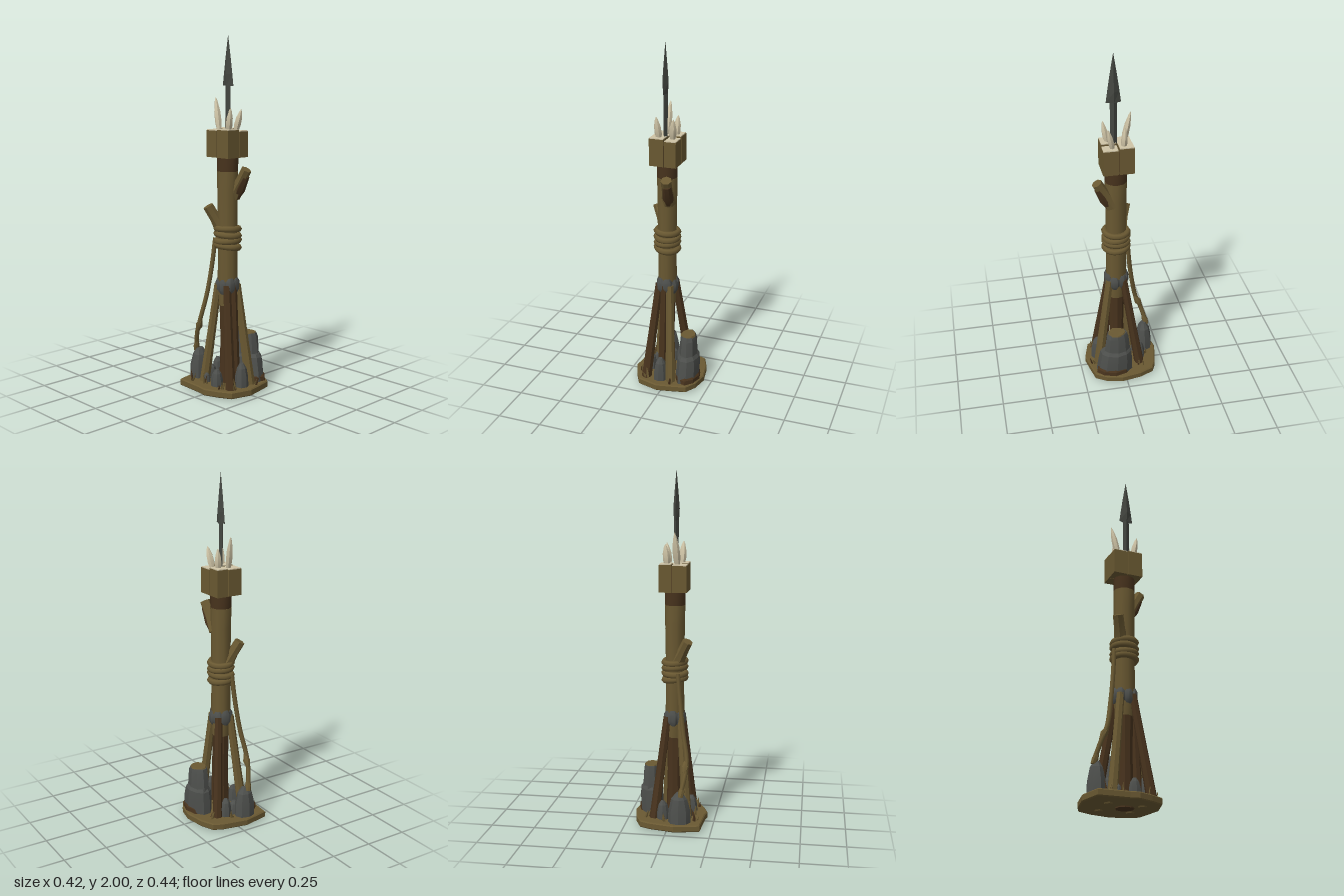
import * as THREE from 'three';
import { toCreasedNormals } from 'three/addons/utils/BufferGeometryUtils.js';

const mat = (name, color) => {
  const m = new THREE.MeshStandardMaterial({ color });
  m.name = name;
  return m;
};

let seed = 7;
const rnd = () => ((seed = (seed * 16807) % 2147483647) / 2147483647) * 2 - 1;

// Skin over rings [y, centreX, centreZ, radiusX, radiusZ], closed at both ends
function loft(rings, sides, { jitter = 0, crease = 0.3, turn = 0 } = {}) {
  const pos = [], idx = [];
  const wobble = Array.from({ length: sides }, () => 1 + jitter * rnd());
  for (const [y, cx, cz, rx, rz] of rings) {
    for (let i = 0; i < sides; i++) {
      const a = turn + (i / sides) * Math.PI * 2, w = wobble[i] * (1 + jitter * 0.4 * rnd());
      pos.push(cx + rx * w * Math.cos(a), y + jitter * 0.03 * rnd(), cz + rz * w * Math.sin(a));
    }
  }
  const last = (rings.length - 1) * sides, b = pos.length / 3;
  const r0 = rings[0], r1 = rings[rings.length - 1];
  pos.push(r0[1], r0[0], r0[2], r1[1], r1[0], r1[2]);
  for (let i = 0; i < sides; i++) {
    const j = (i + 1) % sides;
    for (let k = 0; k < last; k += sides) {
      idx.push(k + i, k + sides + i, k + j, k + j, k + sides + i, k + sides + j);
    }
    idx.push(b, i, j, b + 1, last + j, last + i);
  }
  const g = new THREE.BufferGeometry();
  g.setAttribute('position', new THREE.Float32BufferAttribute(pos, 3));
  g.setIndex(idx);
  return toCreasedNormals(g, crease);
}

export function createModel() {
  const model = new THREE.Group();
  model.name = 'spearPost';
  const olive = mat('oliveWood', 0x6a5932);
  const brown = mat('darkBark', 0x48331d);
  const grey = mat('stone', 0x4d4f4c);
  const iron = mat('iron', 0x444741);
  const bone = mat('bone', 0xcfc4a6);
  const UP = new THREE.Vector3(0, 1, 0);

  const add = (name, geo, material) => {
    const m = new THREE.Mesh(geo, material);
    m.name = name;
    model.add(m);
    return m;
  };
  // Tapered piece running from a to b; profile rows are [t, radius]
  const between = (name, a, b, profile, material, sides = 7, flat = 1) => {
    const p = new THREE.Vector3(...a), d = new THREE.Vector3(...b).sub(p), len = d.length();
    const m = add(name, loft(profile.map(([t, r]) => [t * len, 0, 0, r, r * flat]), sides, { crease: 0.8 }), material);
    m.position.copy(p);
    m.quaternion.setFromUnitVectors(UP, d.normalize());
    return m;
  };

  // Ground slab
  const outline = [[-0.19, -0.19], [-0.045, -0.22], [0.1, -0.19], [0.155, -0.165], [0.19, -0.085], [0.21, 0.03],
    [0.19, 0.12], [0.15, 0.185], [0.06, 0.205], [-0.02, 0.22], [-0.14, 0.185], [-0.18, 0.11], [-0.21, 0.03], [-0.2, -0.02]];
  const slab = new THREE.ExtrudeGeometry(new THREE.Shape(outline.map(([x, z]) => new THREE.Vector2(x, -z))), {
    depth: 0.028, bevelEnabled: true, bevelSize: 0.006, bevelThickness: 0.006, bevelOffset: -0.006, bevelSegments: 1,
  });
  slab.rotateX(-Math.PI / 2).translate(0, 0.013, 0);
  add('groundSlab', slab, olive);

  // Post: dark foot, olive shaft, dark upper bark
  const cx = -0.018, cz = 0.026;
  add('postFoot', loft([[0, cx, cz, 0.05, 0.05], [0.3, cx, cz, 0.042, 0.042], [0.58, cx, cz, 0.05, 0.05]], 9), brown);
  add('postShaft', loft([[0.5, cx, cz, 0.05, 0.052], [0.62, cx, cz, 0.054, 0.06], [0.9, cx, cz, 0.052, 0.058],
    [1.15, cx, cz, 0.056, 0.06], [1.26, cx, cz, 0.058, 0.062]], 10, { crease: 0.8 }), olive);
  add('postBark', loft([[1.24, cx, cz, 0.057, 0.061], [1.36, cx, cz, 0.059, 0.063]], 10, { crease: 0.8 }), brown);

  // Splayed legs
  const legs = [[-0.11, 0.145, -0.055, 0.06, brown], [0.045, 0.15, 0.012, 0.07, olive],
    [0.085, -0.1, 0.02, -0.01, brown], [-0.105, -0.08, -0.055, -0.012, olive]];
  for (const [x, z, tx, tz, m] of legs) {
    between('leg', [x, 0.012, z], [tx, 0.62, tz], [[0, 0.03], [0.5, 0.025], [1, 0.022]], m);
  }
  between('middleLeg', [-0.025, 0.02, 0.1], [-0.02, 0.62, 0.075], [[0, 0.026], [1, 0.02]], brown);

  // Collar of stones
  for (let i = 0; i < 7; i++) {
    const a = (i / 7) * Math.PI * 2 + 0.3;
    const g = loft([[-0.045, 0, 0, 0.015, 0.012], [-0.022, 0, 0, 0.03, 0.023], [0.02, 0, 0, 0.03, 0.023],
      [0.042, 0, 0, 0.016, 0.012]], 7, { jitter: 0.1, crease: 0.6 });
    const m = add('collarStone', g, grey);
    m.position.set(cx + 0.042 * Math.cos(a), 0.615 + 0.01 * rnd(), cz + 0.052 * Math.sin(a));
    m.rotation.y = Math.PI / 2 - a;
  }

  // Rope windings and hanging end
  for (let i = 0; i < 4; i++) {
    const m = add('ropeWinding', new THREE.TorusGeometry(0.06, 0.018, 6, 20), olive);
    m.rotation.set(Math.PI / 2 + 0.06 * rnd(), 0.12 * rnd(), 0);
    m.scale.y = 1.08;
    m.position.set(cx, 0.838 + i * 0.033, cz);
  }
  const path = [[-0.045, 0.88, -0.045], [-0.06, 0.72, -0.058], [-0.08, 0.55, -0.08], [-0.105, 0.4, -0.11],
    [-0.1, 0.32, -0.14], [-0.08, 0.22, -0.17]].map((p) => new THREE.Vector3(...p));
  add('hangingRope', new THREE.TubeGeometry(new THREE.CatmullRomCurve3(path), 24, 0.013, 6), olive);
  between('ropeKnot', [-0.103, 0.4, -0.105], [-0.097, 0.33, -0.14], [[0, 0.01], [0.5, 0.021], [1, 0.01]], olive);
  between('ropeEnd', [-0.088, 0.26, -0.155], [-0.078, 0.2, -0.175], [[0, 0.01], [0.5, 0.018], [1, 0.014]], olive);

  // Cut branches
  const stub = [[0, 0.042], [0.5, 0.031], [1, 0.03]];
  between('frontBranch', [0, 1.12, 0.05], [0.016, 1.275, 0.138], stub, olive);
  between('frontBranchBark', [0.005, 1.11, 0.065], [0.018, 1.24, 0.13], [[0, 0.02], [0.4, 0.032], [1, 0.024]], brown);
  between('backBranch', [-0.035, 0.93, 0], [-0.1, 1.065, -0.045], stub, olive);

  // Head: four blocks with pale cut tops
  const cells = [[-0.094, -0.012, -0.064, 0.018, 1.485], [-0.008, 0.06, -0.064, 0.018, 1.49],
    [-0.094, -0.012, 0.022, 0.108, 1.49], [-0.008, 0.06, 0.022, 0.108, 1.48]];
  for (const [x0, x1, z0, z1, top] of cells) {
    const x = (x0 + x1) / 2, z = (z0 + z1) / 2, h = top - 1.338;
    add('headBlock', new THREE.BoxGeometry(x1 - x0, h, z1 - z0), olive).position.set(x, 1.338 + h / 2, z);
    add('paleTop', new THREE.BoxGeometry(x1 - x0 - 0.004, 0.006, z1 - z0 - 0.004), bone).position.set(x, top + 0.002, z);
  }
  add('headCore', new THREE.BoxGeometry(0.14, 0.12, 0.16), brown).position.set(cx, 1.41, 0.022);

  // Bone spikes
  const spike = [[0, 0.013], [0.3, 0.021], [0.6, 0.019], [0.88, 0.009], [1, 0.001]];
  const tips = [[-0.05, 0.066, -0.058, 1.61, 0.09], [0.02, 0.05, 0.036, 1.6, 0.078],
    [0.02, -0.01, 0.03, 1.6, -0.018], [-0.038, -0.018, -0.028, 1.665, -0.058]];
  for (const [x, z, tx, ty, tz] of tips) between('boneSpike', [x, 1.475, z], [tx, ty, tz], spike, bone, 6, 0.85);

  // Barbed blade
  const bx = -0.024, bz = 0.036;
  const blade = [[1.37, 0.002, 0.002], [1.49, 0.012, 0.02], [1.76, 0.013, 0.019], [1.728, 0.014, 0.041],
    [1.79, 0.018, 0.033], [1.88, 0.011, 0.02], [2, 0.0005, 0.0005]];
  add('blade', loft(blade.map(([y, rx, rz]) => [y, bx, bz, rx, rz]), 4, { crease: 0.1 }), iron);

  // Large stepped rock with mossy top
  const rock = { jitter: 0.07, crease: 0.25 };
  add('largeRockBase', loft([[0.04, 0.118, 0.06, 0.068, 0.108], [0.13, 0.12, 0.055, 0.068, 0.1],
    [0.18, 0.12, 0.052, 0.062, 0.092], [0.2, 0.12, 0.052, 0.05, 0.08]], 10, rock), grey);
  add('largeRockTop', loft([[0.18, 0.12, 0.05, 0.054, 0.078], [0.29, 0.12, 0.05, 0.048, 0.066],
    [0.315, 0.119, 0.05, 0.042, 0.058]], 9, rock), grey);
  add('mossTop', loft([[0.312, 0.119, 0.05, 0.042, 0.057], [0.32, 0.119, 0.05, 0.038, 0.052]], 9, rock), olive);
  add('rockMud', loft([[0.04, 0.125, 0.068, 0.07, 0.106], [0.07, 0.125, 0.068, 0.068, 0.102],
    [0.1, 0.12, 0.06, 0.05, 0.08]], 9, rock), brown);

  // Smaller rocks: x, z, radiusX, radiusZ, top
  const rocks = [[-0.07, -0.152, 0.062, 0.05, 0.22], [-0.115, 0.04, 0.034, 0.034, 0.14], [-0.02, 0.142, 0.042, 0.04, 0.18],
    [0.03, -0.105, 0.036, 0.034, 0.15], [-0.03, -0.1, 0.04, 0.035, 0.12], [-0.11, -0.05, 0.022, 0.022, 0.1]];
  for (const [x, z, rx, rz, top] of rocks) {
    const h = top - 0.04;
    add('rock', loft([[0.04, x, z, rx, rz], [0.04 + h * 0.45, x, z, rx * 0.95, rz * 0.95],
      [0.04 + h * 0.8, x, z, rx * 0.7, rz * 0.7], [top, x, z, rx * 0.3, rz * 0.3]], 8, rock), grey);
  }

  // Grass tufts and bark chips
  const tufts = [[-0.14, 0.11], [0.045, 0.18], [0.12, -0.095], [0.02, -0.15], [-0.15, -0.115], [-0.135, -0.03], [-0.09, 0.165]];
  for (const [x, z] of tufts) {
    for (let i = 0; i < 3; i++) {
      const px = x + 0.014 * rnd(), pz = z + 0.014 * rnd();
      between('grassBlade', [px, 0.04, pz], [px + 0.02 * rnd(), 0.09 + 0.025 * rnd(), pz + 0.02 * rnd()],
        [[0, 0.009], [0.5, 0.007], [1, 0.001]], i % 2 ? brown : olive, 4, 0.6);
    }
  }

  // Stake ends under the slab
  for (const [x, z] of [[-0.08, 0.1], [0.06, 0.09], [0.08, -0.08], [-0.08, -0.09]]) {
    add('stakeEnd', loft([[0, x, z, 0.02, 0.02], [0.02, x, z, 0.03, 0.03]], 6), olive);
  }
  return model;
}
